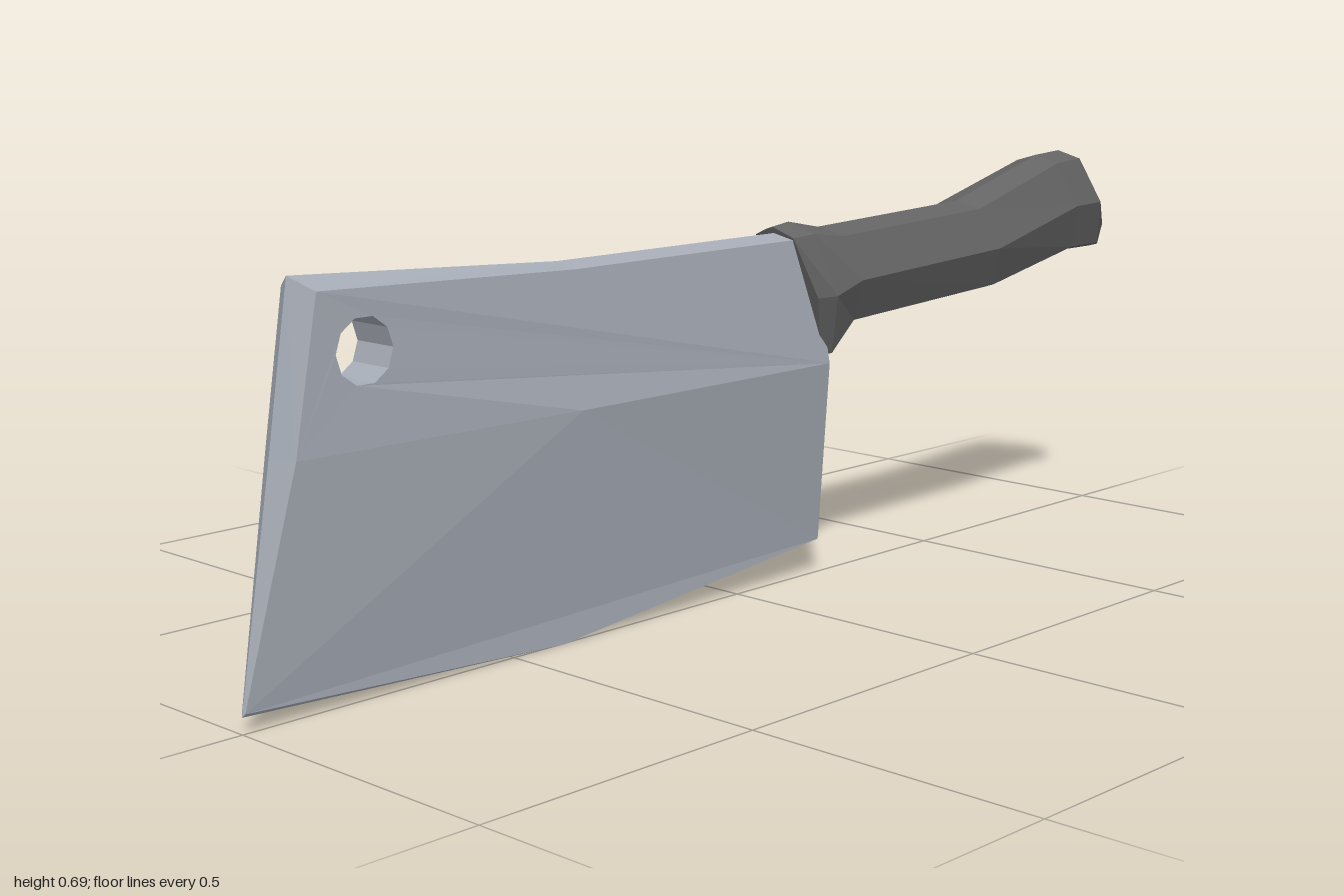
import * as THREE from 'three';

const steel = new THREE.MeshStandardMaterial({ color: 0xa6acb6, flatShading: true });
const grip = new THREE.MeshStandardMaterial({ color: 0x646464, flatShading: true });

// Joins closed rings of [x, y, z] points into a faceted skin
function skin(rings) {
  const pos = [];
  for (let i = 0; i + 1 < rings.length; i++) {
    const n = rings[i].length;
    for (let j = 0; j < n; j++) {
      const k = (j + 1) % n;
      const a = rings[i][j], b = rings[i][k], c = rings[i + 1][k], d = rings[i + 1][j];
      pos.push(...a, ...b, ...c, ...a, ...c, ...d);
    }
  }
  const geo = new THREE.BufferGeometry();
  geo.setAttribute('position', new THREE.Float32BufferAttribute(pos, 3));
  geo.computeVertexNormals();
  return geo;
}

// Half thickness of the blade: thin edge, thickest at the crease, narrower spine
const CREASE = 0.38;
function thickness(z, y) {
  const atCrease = THREE.MathUtils.mapLinear(THREE.MathUtils.clamp(z, 0.4, 0.92), 0.4, 0.92, 0.055, 0.036);
  if (y < 0.07) return 0.004;
  if (y <= CREASE) return atCrease;
  return THREE.MathUtils.lerp(atCrease, 0.04, Math.min((y - CREASE) / 0.21, 1));
}

// Flat panel drawn in (z, y), pushed out to the blade thickness on one side
function panel(points, hole, side) {
  const shape = new THREE.Shape(points.map(p => new THREE.Vector2(...p)));
  if (hole) shape.holes.push(new THREE.Path(hole.map(p => new THREE.Vector2(...p))));
  const geo = new THREE.ShapeGeometry(shape);
  const p = geo.attributes.position;
  for (let i = 0; i < p.count; i++) {
    const z = p.getX(i), y = p.getY(i);
    p.setXYZ(i, side * thickness(z, y), y, z);
  }
  if (side > 0) geo.index.array.reverse();
  const flat = geo.toNonIndexed();
  flat.computeVertexNormals();
  return flat;
}

function add(parent, name, geo, mat) {
  const mesh = new THREE.Mesh(geo, mat);
  mesh.name = name;
  parent.add(mesh);
}

function makeBlade() {
  const blade = new THREE.Group();
  blade.name = 'blade';
  const lower = [[-0.2, 0.06], [0.4, 0], [0.997, 0.03], [0.92, CREASE]];
  const upper = [[0.88, 0.612], [0.4, 0.595], [-0.14, 0.595], [-0.17, CREASE]];
  const outline = [...lower, ...upper];
  // Centre line of the bevels along the nose and spine
  const ridge = [[-0.2, 0.06], [0.4, 0], [1, 0.025], [0.94, CREASE],
    [0.9, 0.632], [0.4, 0.604], [-0.14, 0.604], [-0.17, CREASE]];
  const hole = [];
  for (let i = 0; i < 10; i++) {
    const a = -i / 10 * Math.PI * 2;
    hole.push([0.8 + 0.05 * Math.cos(a), 0.52 + 0.05 * Math.sin(a)]);
  }
  const crease = [0.4, CREASE];
  const ring = (pts, side) => pts.map(([z, y]) => [side * thickness(z, y), y, z]);

  for (const side of [1, -1]) {
    const label = side > 0 ? 'left' : 'right';
    add(blade, label + 'LowerFace', panel([...lower, crease, upper[3]], null, side), steel);
    add(blade, label + 'UpperFace', panel([crease, lower[3], ...upper], hole, side), steel);
  }
  const middle = ridge.map(([z, y]) => [0, y, z]);
  add(blade, 'bladeRim', skin([ring(outline, 1), middle, ring(outline, -1)]), steel);
  add(blade, 'hangingHole', skin([ring(hole, 1), ring(hole, -1)]), steel);
  return blade;
}

function makeHandle() {
  // Octagonal section: fraction of half width, fraction of height
  const section = [[0, 1], [0.62, 0.93], [1, 0.5], [0.62, 0.07],
    [0, 0], [-0.62, 0.07], [-1, 0.5], [-0.62, 0.93]];
  // Top z, top y, bottom z, bottom y, half width
  const stations = [
    [-0.085, 0.615, -0.165, 0.378, 0],
    [-0.085, 0.615, -0.165, 0.378, 0.068],
    [-0.125, 0.62, -0.18, 0.38, 0.088],
    [-0.2, 0.605, -0.235, 0.435, 0.088],
    [-0.58, 0.62, -0.63, 0.455, 0.082],
    [-0.82, 0.688, -0.88, 0.5, 0.076],
    [-0.89, 0.692, -0.965, 0.5, 0.074],
    [-0.972, 0.595, -0.99, 0.5, 0.042],
    [-0.985, 0.575, -1, 0.5, 0],
  ];
  const rings = stations.map(([tz, ty, bz, by, w]) => section.map(([u, v]) =>
    [u * w, THREE.MathUtils.lerp(by, ty, v), THREE.MathUtils.lerp(bz, tz, v)]));
  const mesh = new THREE.Mesh(skin(rings), grip);
  mesh.name = 'handle';
  return mesh;
}

export function createModel() {
  const cleaver = new THREE.Group();
  cleaver.name = 'cleaver';
  cleaver.add(makeBlade(), makeHandle());
  return cleaver;
}
